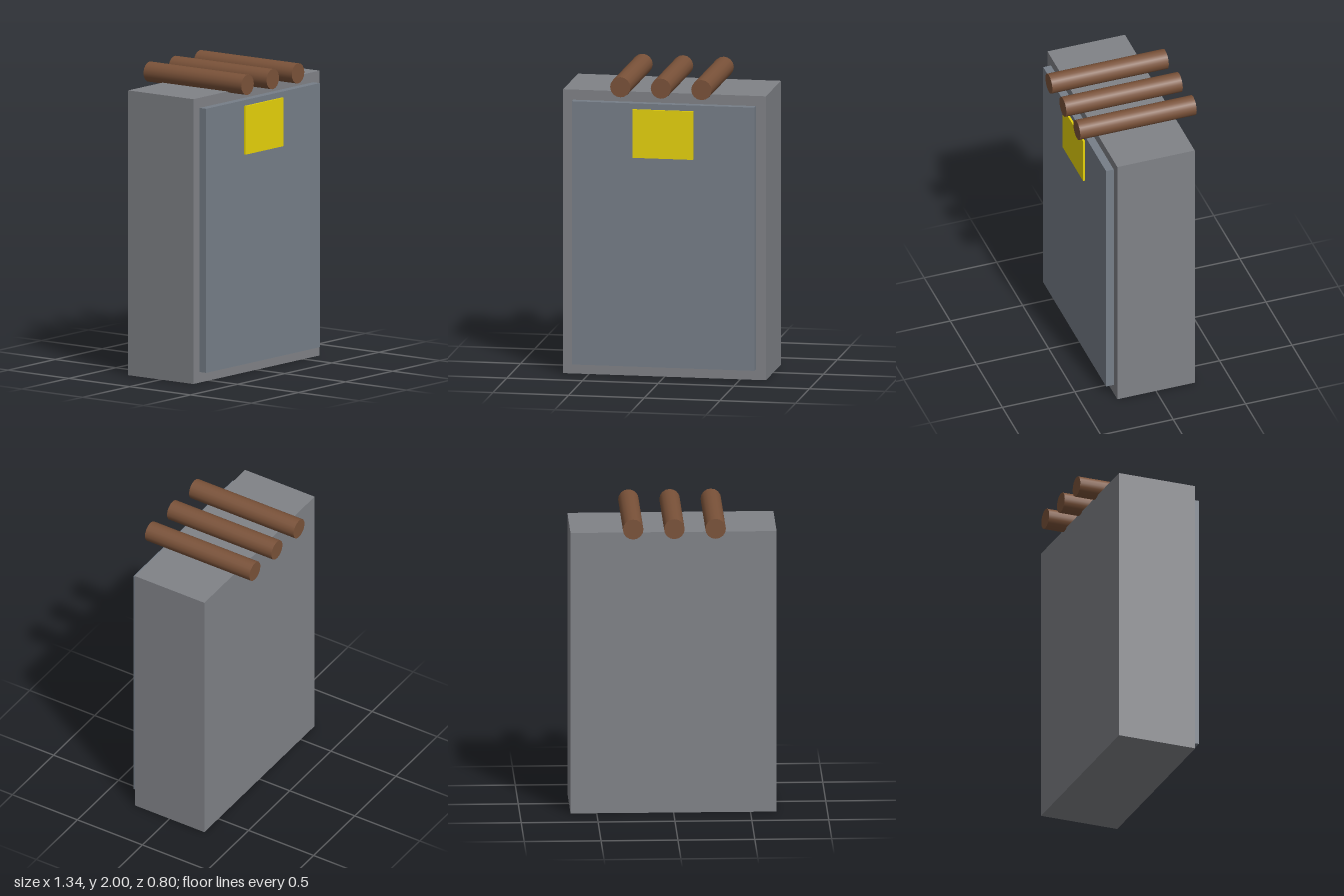
import * as THREE from 'three';

export function createModel() {
  const model = new THREE.Group();
  const paint = (color) => new THREE.MeshStandardMaterial({ color });
  const wood = paint(0x7a5239);

  // Box placed by its bottom and back, centred on x
  function addBox(name, w, h, d, bottom, back, color) {
    const mesh = new THREE.Mesh(new THREE.BoxGeometry(w, h, d), paint(color));
    mesh.name = name;
    mesh.position.set(0, bottom + h / 2, back + d / 2);
    model.add(mesh);
  }

  // Cabinet, raised front panel and yellow label plate
  addBox('cabinet', 1.34, 1.88, 0.535, 0, -0.2675, 0x808287);
  addBox('frontPanel', 1.206, 1.743, 0.0535, 0.07, 0.2675, 0x767e88);
  addBox('labelPlate', 0.4, 0.32, 0.0135, 1.455, 0.321, 0xe6d20a);

  // Three round logs lying front to back, slightly sunk into the top
  const logGeometry = new THREE.CylinderGeometry(0.067, 0.067, 0.804, 16).rotateX(Math.PI / 2);
  ['rightLog', 'middleLog', 'leftLog'].forEach((name, i) => {
    const log = new THREE.Mesh(logGeometry, wood);
    log.name = name;
    log.position.set((i - 1) * 0.268, 1.933, 0);
    model.add(log);
  });

  return model;
}
